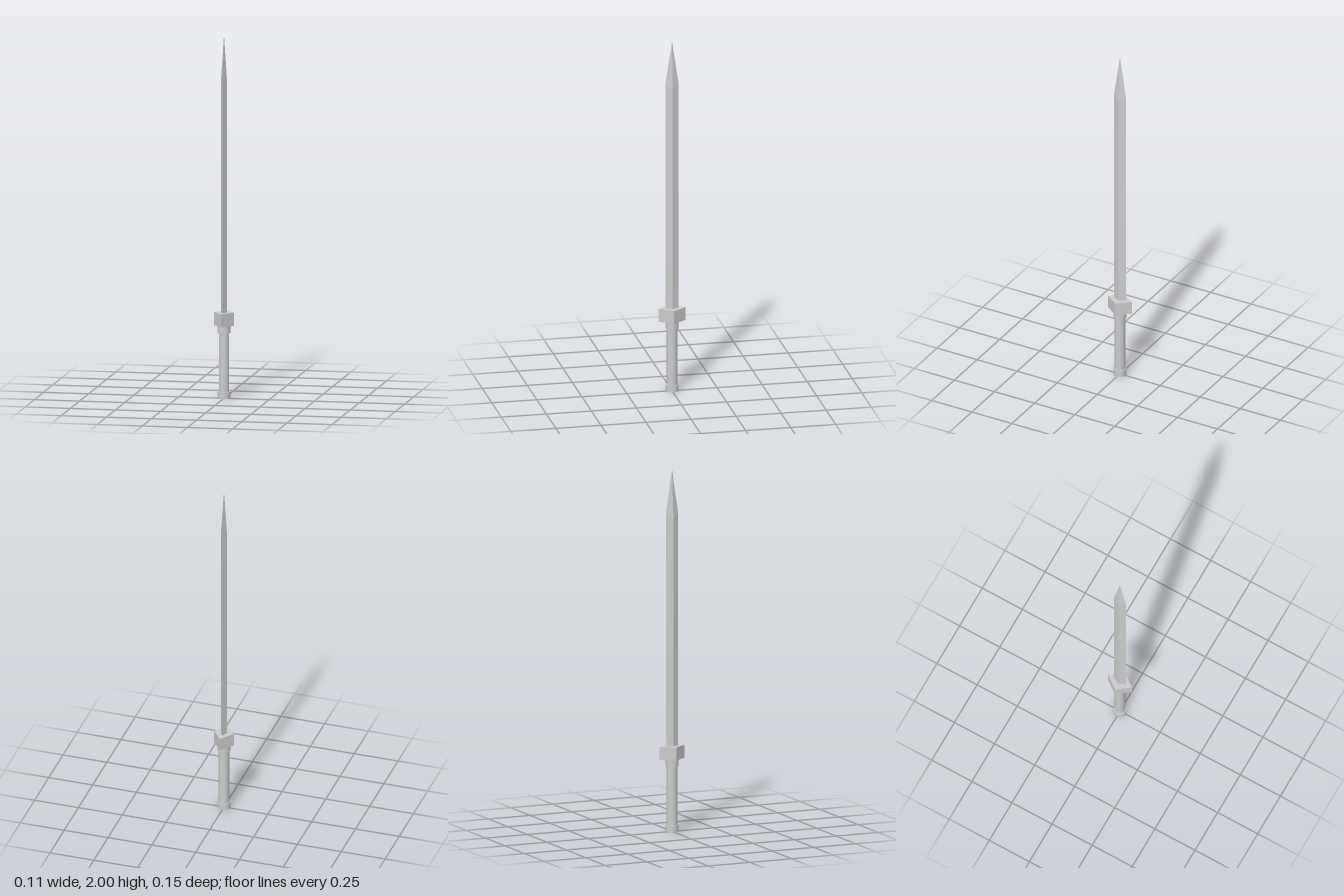
import * as THREE from 'three';

const smooth = new THREE.MeshStandardMaterial({ color: 0xcccccc });
const faceted = new THREE.MeshStandardMaterial({ color: 0xcccccc, flatShading: true });

// Upright prism from y0 to y1; four sides give a diamond with corners on the axes.
function prism(name, y0, y1, rx, rz, sides, topScale = 1, open = false) {
  const geometry = new THREE.CylinderGeometry(topScale, 1, y1 - y0, sides, 1, open);
  geometry.scale(rx, 1, rz).translate(0, (y0 + y1) / 2, 0);
  const mesh = new THREE.Mesh(geometry, sides === 4 ? faceted : smooth);
  mesh.name = name;
  return mesh;
}

// Shoulder of the point: the edge corners (z) sit a little higher than the ridge (x).
function slantShoulder(mesh, shoulderY) {
  const p = mesh.geometry.attributes.position;
  for (let i = 0; i < p.count; i++) {
    if (Math.abs(p.getY(i) - shoulderY) < 1e-4) {
      p.setY(i, Math.abs(p.getZ(i)) > 0.02 ? 1.755 : 1.73);
    }
  }
  return mesh;
}

export function createModel() {
  const sword = new THREE.Group();
  sword.name = 'sword';

  // Handle
  sword.add(prism('pommel', 0, 0.037, 0.035, 0.035, 16));
  sword.add(prism('grip', 0.037, 0.36, 0.029, 0.029, 16));
  sword.add(prism('collar', 0.36, 0.4, 0.035, 0.035, 16));

  // Diamond guard
  sword.add(prism('guard', 0.4, 0.473, 0.056, 0.074, 4));

  // Diamond blade with a tapered point
  sword.add(slantShoulder(prism('blade', 0.473, 1.74, 0.018, 0.037, 4, 1, true), 1.74));
  sword.add(slantShoulder(prism('bladePoint', 1.74, 2, 0.018, 0.037, 4, 0, true), 1.74));

  return sword;
}
